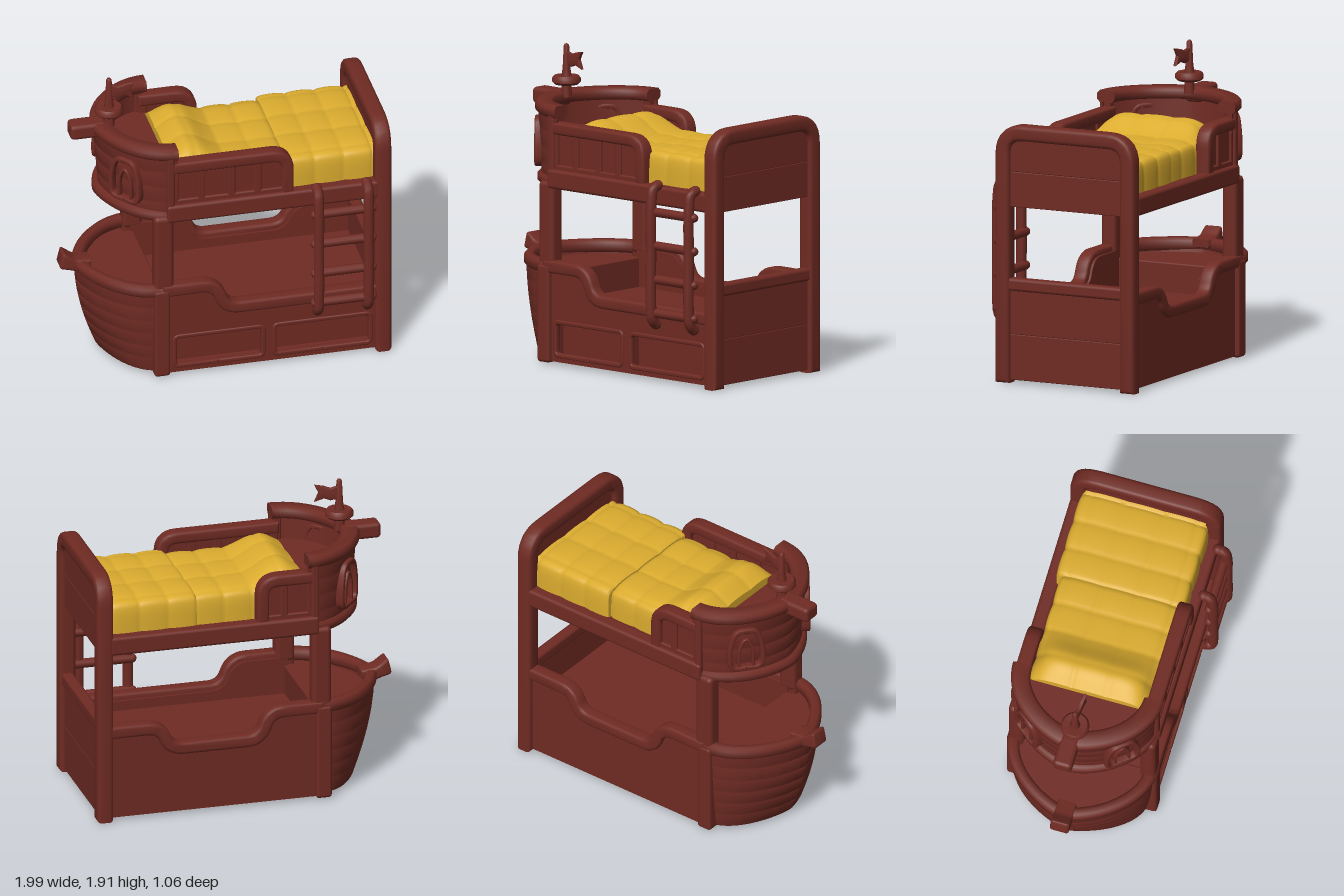
import * as THREE from 'three';
import { toCreasedNormals } from 'three/addons/utils/BufferGeometryUtils.js';
import { RoundedBoxGeometry } from 'three/addons/geometries/RoundedBoxGeometry.js';

const V = (x, y) => new THREE.Vector2(x, y);

export function createModel() {
  const wood = new THREE.MeshStandardMaterial({ color: 0x6f2b23 });
  wood.name = 'red brown wood';
  const cloth = new THREE.MeshStandardMaterial({ color: 0xdbac2f });
  cloth.name = 'yellow bedding';

  const root = new THREE.Group();
  root.name = 'shipBunkBed';
  const bed = new THREE.Group();
  bed.name = 'bed';
  bed.position.z = -0.048;
  root.add(bed);

  const add = (name, geo, mat = wood, parent = bed) => {
    const m = new THREE.Mesh(geo, mat);
    m.name = name;
    parent.add(m);
    return m;
  };
  // Rounded box from its limits on each axis
  const box = (name, x0, x1, y0, y1, z0, z1, r = 0.02) => {
    const g = new RoundedBoxGeometry(x1 - x0, y1 - y0, z1 - z0, 2, r);
    g.translate((x0 + x1) / 2, (y0 + y1) / 2, (z0 + z1) / 2);
    return add(name, g);
  };
  // Polyline with rounded corners
  const route = (list, r) => {
    const p = list.map(([x, y]) => V(x, y));
    const path = new THREE.Path().moveTo(p[0].x, p[0].y);
    for (let i = 1; i < p.length - 1; i++) {
      const near = q => q.clone().sub(p[i]).setLength(Math.min(r, q.distanceTo(p[i]) * 0.49)).add(p[i]);
      const a = near(p[i - 1]), b = near(p[i + 1]);
      path.lineTo(a.x, a.y).quadraticCurveTo(p[i].x, p[i].y, b.x, b.y);
    }
    const e = p[p.length - 1];
    path.lineTo(e.x, e.y);
    return path.getPoints(7).filter((q, i, all) => !i || q.distanceTo(all[i - 1]) > 1e-4);
  };
  // Soft-edged extrusion centred on z = 0
  const slab = (shape, depth, bevel = 0) => {
    const g = new THREE.ExtrudeGeometry(shape, {
      depth: depth - 2 * bevel, bevelEnabled: bevel > 0, bevelSize: bevel,
      bevelThickness: bevel, bevelOffset: -bevel, bevelSegments: 3, curveSegments: 10 });
    g.translate(0, 0, -depth / 2 + bevel);
    return toCreasedNormals(g, 0.7);
  };
  // Beam of constant width following a flat route
  const band = (pts, width, depth, bevel = 0.018) => {
    const left = [], right = [];
    pts.forEach((p, i) => {
      const d = pts[Math.min(i + 1, pts.length - 1)].clone().sub(pts[Math.max(i - 1, 0)]).normalize();
      left.push(V(p.x - d.y * width / 2, p.y + d.x * width / 2));
      right.unshift(V(p.x + d.y * width / 2, p.y - d.x * width / 2));
    });
    return slab(new THREE.Shape([...left, ...right]), depth, bevel);
  };

  // Plan of a bow: t runs from -90 to 90 degrees around the tip, e sharpens it
  const bowPoint = (t, { x0, L, W, e }, o = 0, k = 1) => {
    const s = Math.sin(t);
    return [x0 - (L + o) * Math.cos(t), (W + o * k) * Math.sign(s) * Math.abs(s) ** e];
  };
  const lower = { x0: -0.45, L: 0.445, W: 0.46, e: 1.42 };
  const upper = { x0: -0.35, L: 0.425, W: 0.46, e: 1.25 };
  // Sweeps a profile of [offset, y] points around a bow
  const bowSweep = (profile, plan, k = 1) => {
    const n = 40, m = profile.length, pos = [], idx = [];
    for (let j = 0; j <= n; j++) for (const [o, y] of profile) {
      const [x, z] = bowPoint((j / n - 0.5) * Math.PI, plan, o, k);
      pos.push(x, y, z);
    }
    for (let j = 0; j < n; j++) for (let i = 0; i < m; i++) {
      const a = j * m + i, b = j * m + (i + 1) % m;
      idx.push(a, a + m, b, a + m, b + m, b);
    }
    for (let i = 1; i < m - 1; i++) idx.push(0, i, i + 1, n * m, n * m + i + 1, n * m + i);
    const g = new THREE.BufferGeometry();
    g.setAttribute('position', new THREE.Float32BufferAttribute(pos, 3));
    g.setIndex(idx);
    return toCreasedNormals(g, 0.85);
  };
  const rim = (a, b, y0, y1, c = 0.018) => [[a + c, y0], [b - c, y0], [b, y0 + c], [b, y1 - c],
    [b - c, y1], [a + c, y1], [a, y1 - c], [a, y0 + c]];
  const bowFloor = (name, y0, y1, plan, o, k = 1) => {
    const pts = [];
    for (let j = 0; j <= 40; j++) pts.push(V(...bowPoint((j / 40 - 0.5) * Math.PI, plan, o, k)));
    const g = slab(new THREE.Shape(pts), y1 - y0);
    g.rotateX(-Math.PI / 2).translate(0, (y0 + y1) / 2, 0);
    add(name, g);
  };
  // Wall profile with shallow grooves between planks
  const plankWall = (offset, y0, y1, planks, thick) => {
    const p = [], h = (y1 - y0) / planks;
    for (let i = 0; i < planks; i++) for (const [f, d] of [[0, 0.004], [0.08, 0], [0.92, 0]]) {
      const y = y0 + (i + f) * h;
      p.push([offset((y - y0) / (y1 - y0)) - d, y]);
    }
    p.push([offset(1), y1], [offset(1) - thick, y1], [offset(0) - thick, y0]);
    return p;
  };

  // Lower hull
  const hullOff = u => -0.135 * (1 - u) ** 1.8;
  add('lowerHull', bowSweep(plankWall(hullOff, 0.025, 0.59, 6, 0.05), lower, 0.3));
  add('lowerBowRail', bowSweep(rim(-0.06, 0.015, 0.57, 0.65), lower));
  bowFloor('hullBottom', 0.025, 0.06, lower, -0.14, 0.3);
  bowFloor('bowSeat', 0.52, 0.56, lower, -0.03);
  box('bulkhead', -0.47, -0.43, 0.03, 0.56, -0.44, 0.44, 0.01);
  const prow = route([[-0.8, 0.6], [-0.88, 0.575], [-0.94, 0.595], [-1, 0.61], [-0.975, 0.715],
    [-0.9, 0.66], [-0.8, 0.65]], 0.02);
  add('lowerProw', slab(new THREE.Shape(prow), 0.12, 0.015));

  // Lower bunk body
  box('lowerBunkBase', -0.46, 0.94, 0.02, 0.375, -0.42, 0.375, 0.005);
  const tops = {
    front: [[-0.45, 0.61], [-0.11, 0.61], [-0.05, 0.437], [0.93, 0.437]],
    back: [[-0.45, 0.61], [-0.11, 0.61], [-0.05, 0.437], [0.53, 0.437], [0.59, 0.585], [0.93, 0.585]] };
  const drawers = [[-0.37, 0.19], [0.26, 0.87]];
  for (const [side, s] of [['front', 1], ['back', -1]]) {
    const top = route(tops[side], 0.09);
    const shape = new THREE.Shape([V(-0.45, 0.02), V(0.93, 0.02), ...top.slice().reverse()]);
    if (s > 0) for (const [a, b] of drawers)
      shape.holes.push(new THREE.Path([V(a, 0.06), V(a, 0.27), V(b, 0.27), V(b, 0.06)]));
    add(side + 'Side', slab(shape, 0.08)).position.z = s * 0.412;
    add(side + 'SideRail', band(top, 0.078, 0.09)).position.z = s * 0.432;
    // Bow posts, lower and upper parts
    box(side + 'BowPost', -0.5, -0.4, 0.01, 0.62, s * 0.43 - 0.05, s * 0.43 + 0.05);
    box(side + 'UpperBowPost', -0.5, -0.375, 0.58, 1.14, s * 0.42 - 0.05, s * 0.42 + 0.05, 0.03);
  }
  // Raised frames around the drawer recesses
  for (const [a, b] of drawers) {
    const m = (a + b) / 2;
    const loop = route([[m, 0.06], [b, 0.06], [b, 0.27], [a, 0.27], [a, 0.06], [m, 0.06]], 0.03);
    add('drawerFrame', band(loop, 0.028, 0.04, 0.008)).position.z = 0.438;
  }

  // Headboard: arched frame with plank panels
  const arch = band(route([[-0.433, 0], [-0.433, 1.565], [0.433, 1.565], [0.433, 0]], 0.14), 0.098, 0.105, 0.025);
  arch.rotateY(Math.PI / 2).translate(0.946, 0, 0);
  add('headboardFrame', arch);
  box('headboardRail', 0.91, 0.985, 0.575, 0.655, -0.41, 0.41);
  const panel = (name, y0, y1, n) => {
    for (let i = 0; i < n; i++)
      box(name, 0.925, 0.97, y0 + (y1 - y0) * i / n, y0 + (y1 - y0) * (i + 1) / n, -0.41, 0.41, 0.005);
  };
  panel('lowerHeadboardPlank', 0.02, 0.59, 2);
  panel('upperHeadboardPlank', 1.1, 1.54, 2);

  // Upper bunk deck, rails and guards
  box('upperDeck', -0.4, 0.94, 1.12, 1.21, -0.42, 0.42, 0.01);
  const guards = { front: [0.345, 1], back: [-0.065, -1] };
  for (const side in guards) {
    const [end, s] = guards[side], z = s * 0.42;
    box(side + 'UpperRail', -0.42, 0.92, 1.1, 1.22, s * 0.435 - 0.045, s * 0.435 + 0.045);
    const line = route([[-0.4, 1.475], [end, 1.475], [end, 1.2]], 0.1);
    add(side + 'GuardFrame', band(line, 0.075, 0.095)).position.z = z;
    box(side + 'GuardPanel', -0.4, end, 1.2, 1.46, z - 0.02, z + 0.02, 0.005);
    box(side + 'GuardSill', -0.4, end, 1.2, 1.25, z - 0.035, z + 0.035, 0.01);
    for (const x of [-0.37, -0.2, -0.01, 0.155]) if (x < end - 0.1)
      box(side + 'GuardSlat', x - 0.025, x + 0.025, 1.22, 1.46, z - 0.035, z + 0.035, 0.01);
  }

  // Upper bow
  add('upperBowWall', bowSweep(plankWall(u => -0.035 * (1 - u), 1.13, 1.56, 4, 0.05), upper, 0.3));
  add('upperBowRim', bowSweep(rim(-0.1, 0.02, 1.54, 1.615), upper));
  add('upperBowLip', bowSweep(rim(-0.07, 0.005, 1.1, 1.17), upper));
  bowFloor('upperBowBase', 1.12, 1.16, upper, -0.04);
  bowFloor('upperBowFloor', 1.35, 1.39, upper, -0.04);
  box('upperProw', -0.93, -0.7, 1.52, 1.62, -0.06, 0.06, 0.025);
  for (const s of [1, -1]) {
    box('bowWallEnd', -0.42, -0.37, 1.14, 1.57, s * 0.435 - 0.035, s * 0.435 + 0.035, 0.015);
    // Arched window set into the curved wall
    const t = s * 0.8, [x, z] = bowPoint(t, upper, -0.012);
    const [x2, z2] = bowPoint(t + 0.02, upper, -0.012);
    const win = new THREE.Group();
    win.name = 'archedWindow';
    win.position.set(x, 0, z);
    win.rotation.y = Math.atan2(-(z2 - z), x2 - x);
    const outline = route([[0, 1.215], [-0.105, 1.215], [-0.105, 1.36], [-0.07, 1.485], [0, 1.495],
      [0.07, 1.485], [0.105, 1.36], [0.105, 1.215], [0, 1.215]], 0.06);
    add('windowFrame', band(outline, 0.03, 0.065, 0.01), wood, win);
    const leaf = route([[-0.045, 1.22], [-0.045, 1.36], [0, 1.44], [0.045, 1.36], [0.045, 1.22]], 0.05);
    add('windowInnerArch', band(leaf, 0.018, 0.05, 0.006), wood, win);
    bed.add(win);
  }

  // Lookout, mast and flag
  const lathe = pts => toCreasedNormals(new THREE.LatheGeometry(pts.map(p => V(...p)), 24), 0.8);
  add('lookout', lathe([[0, 1.58], [0.035, 1.58], [0.03, 1.66], [0.07, 1.66], [0.088, 1.675],
    [0.088, 1.7], [0.075, 1.715], [0.032, 1.712], [0.024, 1.76], [0.017, 1.9], [0.01, 1.912], [0, 1.915]]))
    .position.set(-0.68, 0, 0.013);
  const flag = new THREE.Shape([V(0, 1.87), V(0.05, 1.855), V(0.09, 1.87), V(0.15, 1.88), V(0.125, 1.83),
    V(0.15, 1.77), V(0.09, 1.79), V(0.05, 1.775), V(0, 1.785)]);
  const f = add('flag', slab(flag, 0.025, 0.008));
  f.position.set(-0.675, 0, 0.013);
  f.rotation.y = -0.15;

  // Quilted bedding with a raised pillow end
  const quilt = (name, x0, x1, y1, w, base) => {
    const y0 = 1.2, g = new THREE.BoxGeometry(x1 - x0, y1 - y0, 2 * w, 48, 8, 54);
    g.translate((x0 + x1) / 2, (y0 + y1) / 2, 0);
    const p = g.attributes.position;
    const puff = (v, step) => Math.abs(Math.sin(Math.PI * v / step)) ** 0.35;
    for (let i = 0; i < p.count; i++) {
      const x = p.getX(i), y = p.getY(i), z = p.getZ(i);
      const u = (y - y0) / (y1 - y0), e = Math.abs(z) / w;
      const qx = puff(x - 0.345, 0.182), qz = puff(z - 0.12, 0.235);
      const pillow = base * 0.1 * Math.exp(-(((x + 0.22) / 0.13) ** 2)) * (1 - e ** 6);
      p.setY(i, y + u * (pillow - 0.014 * (2 - qx - qz) - 0.025 * e ** 12));
      p.setZ(i, z * (1 - 0.03 * (1 - qx) - 0.03 * u ** 6));
    }
    add(name, toCreasedNormals(g, 0.9), cloth);
  };
  quilt('mattress', -0.36, 0.36, 1.42, 0.385, 1);
  quilt('blanket', 0.345, 0.915, 1.43, 0.415, 0);

  // Ladder hooked on the front rail
  for (const x of [0.52, 0.835]) {
    const c = new THREE.CatmullRomCurve3([[1.23, 0.485], [1.215, 0.525], [1.12, 0.543], [0.8, 0.545],
      [0.48, 0.545], [0.4, 0.535], [0.365, 0.5]].map(([y, z]) => new THREE.Vector3(x, y, z)));
    add('ladderRail', new THREE.TubeGeometry(c, 36, 0.033, 12));
    for (const q of [0, 1]) add('ladderRailEnd', new THREE.SphereGeometry(0.033, 12, 8)).position.copy(c.getPoint(q));
  }
  for (const y of [1.07, 0.86, 0.65, 0.44]) {
    const rung = add('ladderRung', new THREE.CapsuleGeometry(0.029, 0.36, 4, 12));
    rung.rotation.z = Math.PI / 2;
    rung.position.set(0.68, y, 0.527);
  }
  return root;
}
